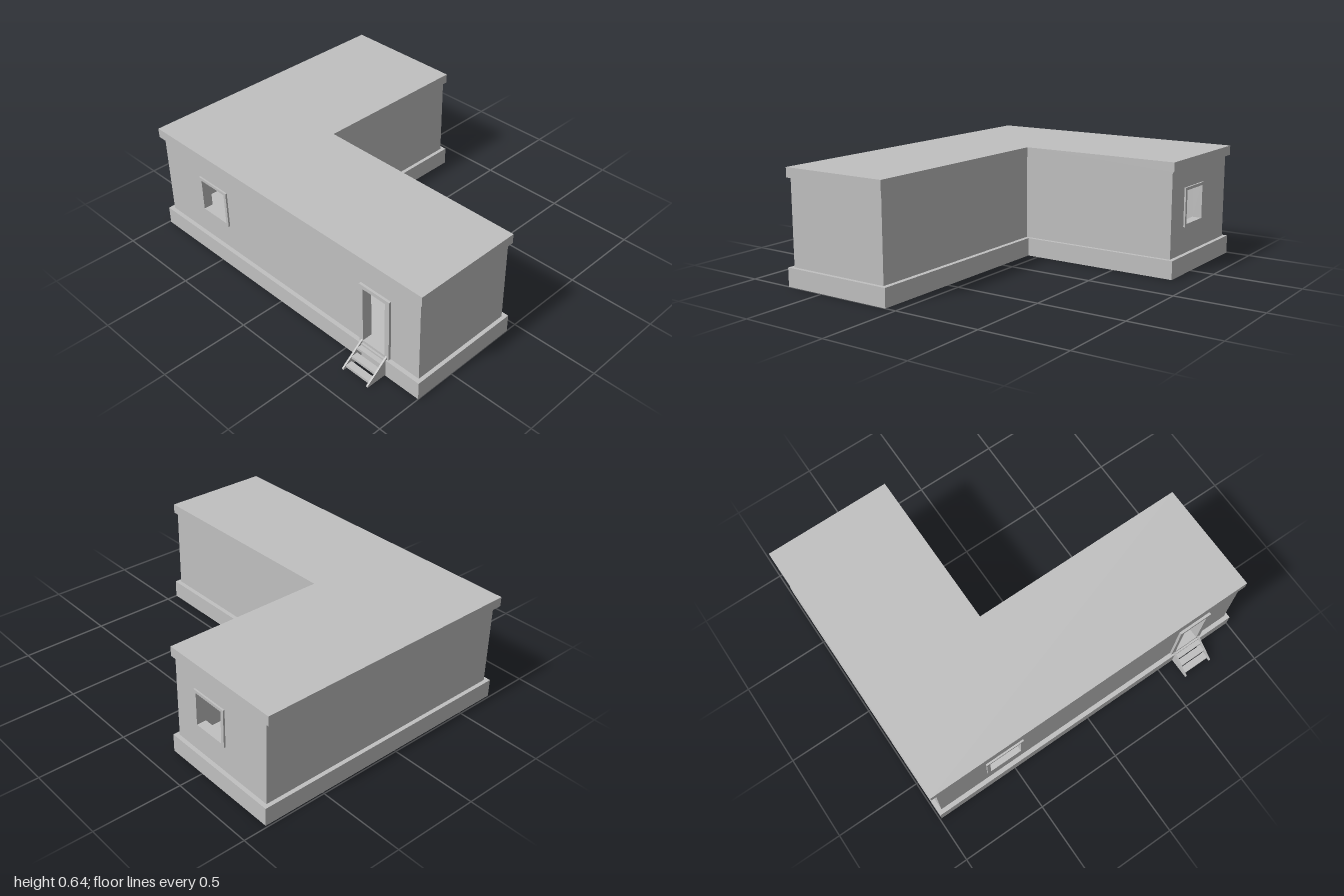
import * as THREE from 'three';

const T = 0.045; // wall thickness
const FLOOR = 0.105, EAVES = 0.585, TOP = 0.64;
const FRONT = 0.713, BACK = -0.838, LEFT = 0.978, RIGHT = -0.967;
const INNER_X = -0.284, INNER_Z = 0.093; // inside corner of the L

const rect = (Type, x0, x1, y0, y1) => {
  const r = new Type();
  r.moveTo(x0, y0).lineTo(x1, y0).lineTo(x1, y1).lineTo(x0, y1).closePath();
  return r;
};

export function createModel() {
  const model = new THREE.Group();
  const grey = new THREE.MeshStandardMaterial({ color: 0xc0c0c0 });
  grey.name = 'plain grey';

  const add = (name, geometry, parent = model) => {
    const mesh = new THREE.Mesh(geometry, grey);
    mesh.name = name;
    parent.add(mesh);
    return mesh;
  };
  const box = (name, x0, x1, y0, y1, z0, z1, parent) =>
    add(name, new THREE.BoxGeometry(x1 - x0, y1 - y0, z1 - z0), parent)
      .position.set((x0 + x1) / 2, (y0 + y1) / 2, (z0 + z1) / 2);

  // L-shaped slab seen from above
  const slab = (name, x0, x1, z0, z1, innerX, innerZ, y0, y1) => {
    const s = new THREE.Shape();
    s.moveTo(x0, -z1).lineTo(x1, -z1).lineTo(x1, -innerZ)
      .lineTo(innerX, -innerZ).lineTo(innerX, -z0).lineTo(x0, -z0).closePath();
    const g = new THREE.ExtrudeGeometry(s, { depth: y1 - y0, bevelEnabled: false });
    add(name, g.rotateX(-Math.PI / 2).translate(0, y0, 0));
  };
  slab('foundation', -0.99, 1, -0.862, 0.738, -0.262, 0.066, 0, FLOOR);
  slab('roof', -1, 0.995, -0.853, 0.727, -0.27, 0.08, EAVES, TOP);

  // Upright panel with rectangular openings [x0, x1, y0, y1]
  const panel = (name, x0, x1, y0, y1, z0, z1, openings) => {
    const s = rect(THREE.Shape, x0, x1, y0, y1);
    for (const o of openings) s.holes.push(rect(THREE.Path, ...o));
    const g = new THREE.ExtrudeGeometry(s, { depth: z1 - z0, bevelEnabled: false });
    add(name, g.translate(0, 0, z0));
  };
  const windowHole = [-0.645, -0.453, 0.272, 0.461];
  const doorHole = [0.612, 0.762, 0.12, 0.455];

  // Walls around a hollow interior
  panel('frontWall', RIGHT, LEFT, FLOOR, EAVES, FRONT - T, FRONT, [windowHole, doorHole]);
  panel('backWall', RIGHT, INNER_X, FLOOR, EAVES, BACK, BACK + T, [windowHole]);
  box('rightWall', RIGHT, RIGHT + T, FLOOR, EAVES, BACK + T, FRONT - T);
  box('leftWall', LEFT - T, LEFT, FLOOR, EAVES, INNER_Z, FRONT - T);
  box('wingWall', INNER_X - T, INNER_X, FLOOR, EAVES, BACK + T, INNER_Z + T);
  box('courtWall', INNER_X, LEFT - T, FLOOR, EAVES, INNER_Z, INNER_Z + T);

  // Raised surrounds
  panel('frontWindowFrame', -0.665, -0.435, 0.257, 0.477, FRONT, FRONT + 0.01, [windowHole]);
  panel('backWindowFrame', -0.665, -0.435, 0.257, 0.477, BACK - 0.01, BACK, [windowHole]);
  panel('doorFrame', 0.587, 0.79, FLOOR, 0.477, FRONT, FRONT + 0.014, [doorHole]);

  // Entrance steps: two side boards and three open treads
  const steps = new THREE.Group();
  steps.name = 'entranceSteps';
  model.add(steps);
  const side = new THREE.Shape();
  side.moveTo(-0.862, 0.008).lineTo(-0.727, 0.008).lineTo(-0.727, 0.122).lineTo(-0.862, 0.016).closePath();
  for (const x of [0.6, 0.77]) {
    const g = new THREE.ExtrudeGeometry(side, { depth: 0.01, bevelEnabled: false });
    add('stepSide', g.rotateY(Math.PI / 2).translate(x, 0, 0), steps);
  }
  for (let i = 0; i < 3; i++) {
    const y = 0.08 - i * 0.0325, z = 0.727 + i * 0.039;
    box('tread', 0.61, 0.77, y, y + 0.015, z, z + 0.039, steps);
  }
  return model;
}
